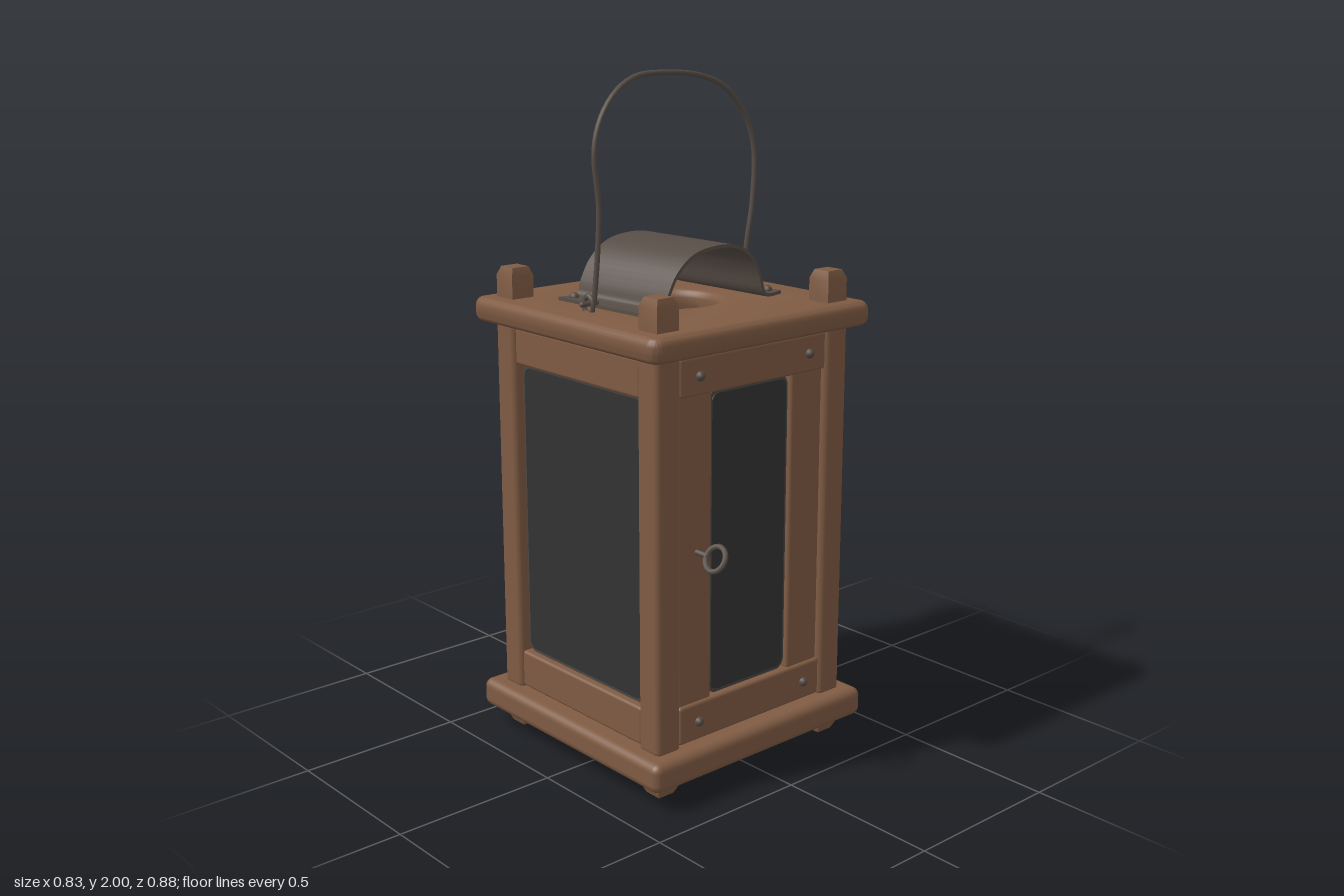
import * as THREE from 'three';
import { toCreasedNormals } from 'three/addons/utils/BufferGeometryUtils.js';
import { RoundedBoxGeometry } from 'three/addons/geometries/RoundedBoxGeometry.js';

const CZ = -0.025; // depth of the lantern's central axis

export function createModel() {
  const root = new THREE.Group();
  root.name = 'lantern';
  const material = (name, color) => {
    const m = new THREE.MeshStandardMaterial({ color });
    m.name = name;
    return m;
  };
  const wood = material('brown wood', 0x7f5b43);
  const metal = material('dark iron', 0x574d46);
  const glass = material('dark glass', 0x333334);
  const lead = material('grey glazing strip', 0x4a4744);

  const add = (parent, name, geo, mat, x = 0, y = 0, z = 0) => {
    const mesh = new THREE.Mesh(geo, mat);
    mesh.name = name;
    mesh.position.set(x, y, z);
    parent.add(mesh);
    return mesh;
  };
  const bar = (w, h, d, r = 0.01) => new RoundedBoxGeometry(w, h, d, 3, r);
  const roundedRect = (w, h, r) => {
    const s = new THREE.Shape();
    const corners = [[w / 2 - r, -h / 2 + r, -1], [w / 2 - r, h / 2 - r, 0], [-w / 2 + r, h / 2 - r, 1], [-w / 2 + r, -h / 2 + r, 2]];
    for (const [x, y, q] of corners) s.absarc(x, y, r, q * Math.PI / 2, (q + 1) * Math.PI / 2, false);
    s.closePath();
    return s;
  };

  // Base board
  add(root, 'baseBoard', bar(0.83, 0.088, 0.83, 0.026), wood, 0, 0.102, CZ);

  // Top board with a round smoke hole
  const b = 0.024;
  const topShape = roundedRect(0.83 - 2 * b, 0.83 - 2 * b, 0.015);
  const hole = new THREE.Path();
  hole.absarc(0, 0, 0.14 + b, 0, Math.PI * 2, true);
  topShape.holes.push(hole);
  const topGeo = new THREE.ExtrudeGeometry(topShape, {
    depth: 0.024, bevelEnabled: true, bevelSize: b, bevelThickness: b, bevelSegments: 4, curveSegments: 20,
  });
  topGeo.rotateX(-Math.PI / 2);
  add(root, 'topBoard', toCreasedNormals(topGeo, 0.7), wood, 0, 1.278 + b, CZ);

  // Corner posts with tapered pegs above and short feet below
  const peg = (profile) => {
    const g = new THREE.LatheGeometry(profile.map(([h, y]) => new THREE.Vector2(h * Math.SQRT2, y)), 4);
    g.rotateY(Math.PI / 4);
    return toCreasedNormals(g, 0.5);
  };
  const pegGeo = peg([[0.038, 1.33], [0.038, 1.415], [0.028, 1.44], [0, 1.443]]);
  const footGeo = peg([[0, 0], [0.027, 0.008], [0.037, 0.03], [0.037, 0.08]]);
  const postGeo = bar(0.088, 1.16, 0.088, 0.018);
  for (const sx of [-1, 1]) {
    for (const sz of [-1, 1]) {
      const x = sx * 0.322, z = CZ + sz * 0.32;
      add(root, 'cornerPost', postGeo, wood, x, 0.715, z);
      add(root, 'postPeg', pegGeo, wood, x, 0, z);
      add(root, 'foot', footGeo, wood, x, 0, z);
    }
  }

  // Walls: two rails and a glazed pane, drawn facing +z and turned into place
  const buildWall = (name, angle, paneW, paneX) => {
    const wall = new THREE.Group();
    wall.name = name;
    wall.position.z = CZ;
    wall.rotation.y = angle;
    root.add(wall);
    add(wall, 'topRail', bar(0.56, 0.112, 0.05), wood, 0, 1.215, 0.333);
    add(wall, 'bottomRail', bar(0.56, 0.115, 0.05), wood, 0, 0.206, 0.333);
    const strip = new THREE.ExtrudeGeometry(roundedRect(paneW + 0.02, 0.9, 0.035), { depth: 0.012, bevelEnabled: false });
    add(wall, 'glazingStrip', strip, lead, paneX, 0.712, 0.322);
    const pane = new THREE.ExtrudeGeometry(roundedRect(paneW, 0.876, 0.025), { depth: 0.006, bevelEnabled: false });
    add(wall, 'pane', pane, glass, paneX, 0.712, 0.332);
    return wall;
  };
  buildWall('leftWall', Math.PI / 2, 0.525, 0);
  buildWall('rightWall', -Math.PI / 2, 0.525, 0);
  buildWall('backWall', Math.PI, 0.525, 0);

  // Door: front wall with stiles, rivets and a ring pull
  const door = buildWall('door', 0, 0.285, -0.002);
  const rivet = new THREE.SphereGeometry(0.014, 10, 8);
  for (const s of [-1, 1]) {
    add(door, 'doorStile', bar(0.125, 0.91, 0.04), wood, s * 0.215, 0.712, 0.328);
    for (const y of [1.215, 0.206]) add(door, 'doorRivet', rivet, metal, s * 0.21, y, 0.361);
  }
  const ring = new THREE.TorusGeometry(0.036, 0.008, 8, 18);
  ring.rotateY(Math.PI / 2);
  ring.rotateZ(-0.5);
  add(root, 'ringPull', ring, metal, -0.21, 0.712, 0.4);
  const shank = new THREE.CylinderGeometry(0.008, 0.008, 0.06, 8);
  shank.rotateX(Math.PI / 2);
  add(root, 'ringShank', shank, metal, -0.21, 0.712, 0.34);

  // Arched metal smoke cover, slightly skewed
  const arch = [[-0.268, 1.354], [-0.195, 1.356], [-0.175, 1.4], [-0.14, 1.457], [-0.08, 1.5], [0, 1.514],
    [0.08, 1.508], [0.14, 1.475], [0.175, 1.42], [0.2, 1.356], [0.268, 1.354]].map(([x, y]) => new THREE.Vector2(x, y));
  const line = new THREE.SplineCurve(arch).getPoints(40);
  const outer = line.map((p, i) => {
    const a = line[Math.max(i - 1, 0)], c = line[Math.min(i + 1, line.length - 1)];
    const t = c.clone().sub(a).normalize();
    return new THREE.Vector2(p.x - t.y * 0.01, p.y + t.x * 0.01);
  });
  const coverGeo = new THREE.ExtrudeGeometry(new THREE.Shape([...line, ...outer.reverse()]), { depth: 0.365, bevelEnabled: false });
  const pos = coverGeo.attributes.position;
  for (let i = 0; i < pos.count; i++) {
    const x = pos.getX(i), z = pos.getZ(i) - 0.207;
    pos.setX(i, x + 0.045 * (z - CZ));
    pos.setZ(i, z - 0.03 * x);
  }
  add(root, 'smokeCover', toCreasedNormals(coverGeo, 0.7), metal);
  for (const [x, z] of [[-0.245, -0.165], [0.215, -0.18], [-0.22, 0.13], [0.25, 0.12]]) {
    add(root, 'coverRivet', rivet, metal, x, 1.364, z);
  }

  // Bent wire handle and the staples that hold it
  const wire = [[-0.285, 1.37, -0.025], [-0.275, 1.5, -0.02], [-0.268, 1.64, -0.02], [-0.278, 1.79, -0.025], [-0.25, 1.875, -0.032],
    [-0.19, 1.945, -0.04], [-0.11, 1.985, -0.047], [0, 1.992, -0.05], [0.13, 1.98, -0.046], [0.22, 1.945, -0.04],
    [0.29, 1.87, -0.033], [0.327, 1.77, -0.026], [0.318, 1.6, -0.02], [0.3, 1.5, -0.02], [0.288, 1.37, -0.025]]
    .map((p) => new THREE.Vector3(...p));
  add(root, 'wireHandle', new THREE.TubeGeometry(new THREE.CatmullRomCurve3(wire), 70, 0.008, 7), metal);
  const staple = new THREE.TorusGeometry(0.019, 0.007, 7, 14);
  staple.rotateY(Math.PI / 2);
  staple.scale(1, 1.4, 1);
  const hook = new THREE.CapsuleGeometry(0.008, 0.05, 4, 8);
  hook.rotateZ(Math.PI / 2);
  for (const s of [-1, 1]) {
    add(root, 'handleStaple', staple, metal, s * 0.302, 1.367, -0.027);
    add(root, 'handleHook', hook, metal, s * 0.3, 1.372, -0.027);
  }
  return root;
}
